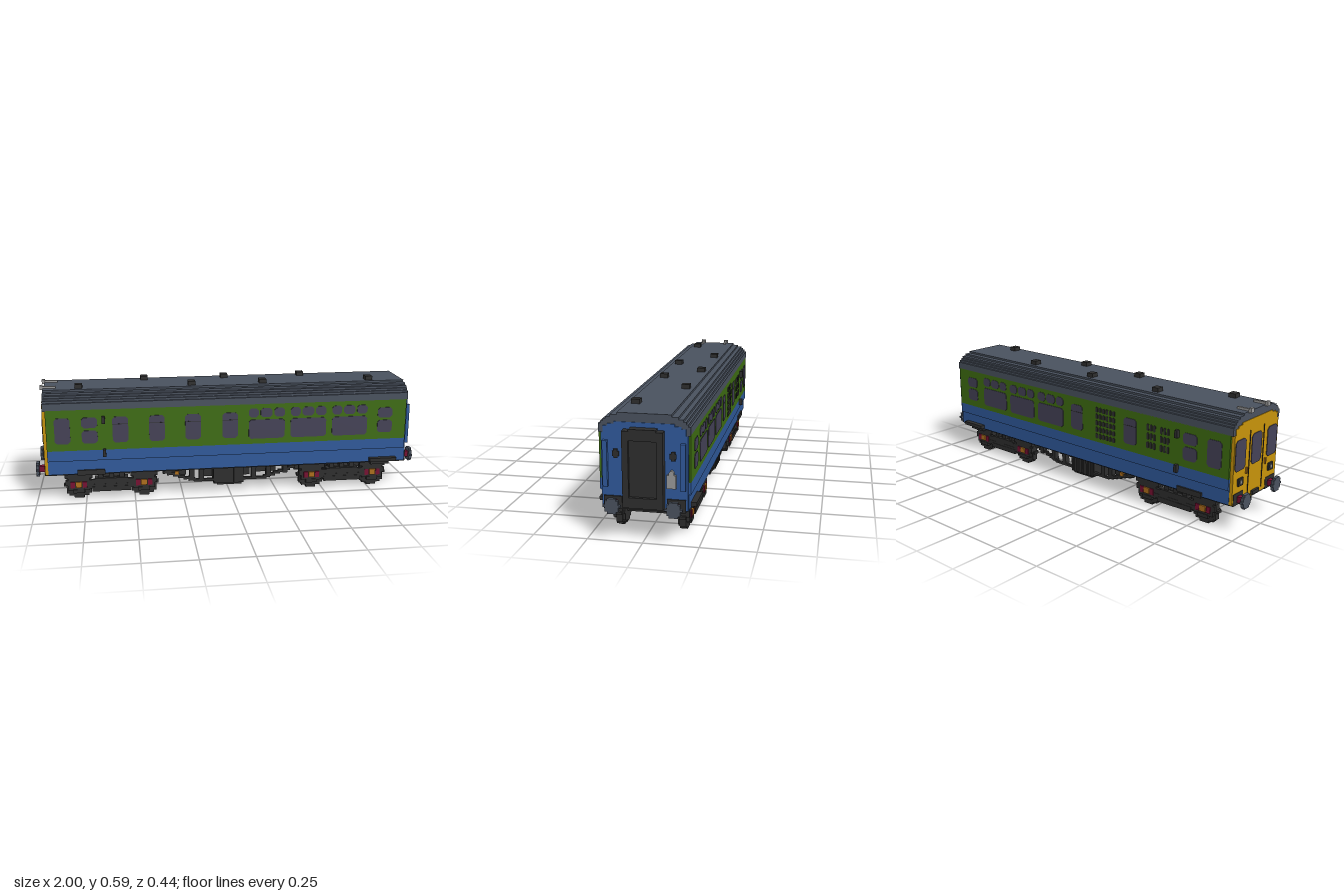
import * as THREE from 'three';

const mat = (name, hex, side = THREE.FrontSide) => {
  const m = new THREE.MeshStandardMaterial({ color: hex, side });
  m.name = name;
  return m;
};

export function createModel() {
  const green = mat('green paint', 0x3f6e12), blue = mat('blue paint', 0x305a9c);
  const roofGrey = mat('roof grey', 0x4a525f), dark = mat('underframe black', 0x2e2e2e);
  const glass = mat('window glass', 0x454257), yellow = mat('yellow paint', 0xc8940a);
  const orange = mat('axle orange', 0xb0701c), red = mat('crimson', 0x780f32);
  const silver = mat('silver grey', 0x9a9a9a);

  const model = new THREE.Group();
  const group = (name, parent = model) => {
    const g = new THREE.Group();
    g.name = name;
    parent.add(g);
    return g;
  };
  const add = (parent, name, geo, m) => {
    const mesh = new THREE.Mesh(geo, m);
    mesh.name = name;
    parent.add(mesh);
    return mesh;
  };
  // box given by its limits
  const box = (p, name, m, x0, x1, y0, y1, z0, z1) => {
    const b = add(p, name, new THREE.BoxGeometry(x1 - x0, y1 - y0, Math.abs(z1 - z0)), m);
    b.position.set((x0 + x1) / 2, (y0 + y1) / 2, (z0 + z1) / 2);
    return b;
  };
  // solid with cross-section in (z, y), running along x
  const alongX = (p, name, m, pts, x0, x1) => {
    const s = new THREE.Shape(pts.map(([z, y]) => new THREE.Vector2(-z, y)));
    const g = new THREE.ExtrudeGeometry(s, { depth: x1 - x0, bevelEnabled: false });
    g.rotateY(Math.PI / 2).translate(x0, 0, 0);
    return add(p, name, g, m);
  };
  const mirrored = pts => [...pts, ...pts.slice().reverse().map(([z, y]) => [-z, y])];
  // stepped disc made of rows, thin along the given axis
  const disc = (p, name, m, x, y, z, r, t, axis, rows = 11) => {
    const g = group(name, p), h = 2 * r / rows;
    for (let i = 0; i < rows; i++) {
      const yy = -r + (i + 0.5) * h;
      const w = Math.max(h, Math.round(Math.sqrt(r * r - yy * yy) / h) * h);
      const geo = axis === 'z' ? new THREE.BoxGeometry(2 * w, h, t) : new THREE.BoxGeometry(t, h, 2 * w);
      add(g, name + 'Row', geo, m).position.set(0, yy, 0);
    }
    g.position.set(x, y, z);
  };
  // thin pane with clipped corners
  const paneGeo = (w, h, c) => {
    const a = w / 2, b = h / 2;
    const s = new THREE.Shape([[-a + c, -b], [a - c, -b], [a, -b + c], [a, b - c], [a - c, b], [-a + c, b], [-a, b - c], [-a, -b + c]]
      .map(q => new THREE.Vector2(...q)));
    return new THREE.ExtrudeGeometry(s, { depth: 0.003, bevelEnabled: false });
  };
  const pane = (p, side, x0, x1, y0, y1, m = glass, c = 0.012) => {
    const mesh = add(p, 'pane', paneGeo(x1 - x0, y1 - y0, c), m);
    mesh.position.set((x0 + x1) / 2, (y0 + y1) / 2, side * 0.203);
    if (side < 0) mesh.rotation.y = Math.PI;
  };

  // Body shell
  const body = group('body');
  box(body, 'core', blue, -0.935, 0.937, 0.14, 0.48, -0.19, 0.19);
  box(body, 'floor', dark, -0.935, 0.937, 0.133, 0.142, -0.185, 0.185);
  for (const s of [1, -1]) {
    box(body, 'lowerPanel', blue, -0.937, 0.94, 0.14, 0.213, s * 0.185, s * 0.194);
    box(body, 'waistPanel', blue, -0.937, 0.94, 0.213, 0.268, s * 0.185, s * 0.203);
    box(body, 'sidePanel', green, -0.937, 0.94, 0.268, 0.48, s * 0.193, s * 0.203);
  }

  // Roof with stepped edges, and the two end panels beneath it
  const roof = group('roof');
  alongX(roof, 'roofShell', roofGrey, mirrored([[0.203, 0.477], [0.203, 0.516], [0.193, 0.516], [0.193, 0.527], [0.183, 0.527],
    [0.183, 0.537], [0.172, 0.537], [0.172, 0.547], [0.15, 0.547], [0.15, 0.557], [0.12, 0.557], [0.12, 0.567]]), -0.95, 0.945);
  const endShape = mirrored([[0.192, 0.14], [0.192, 0.477], [0.183, 0.477], [0.183, 0.507], [0.163, 0.507], [0.163, 0.517], [0.134, 0.517], [0.134, 0.527]]);
  alongX(body, 'gangwayEnd', blue, endShape, 0.936, 0.948);
  alongX(body, 'cabEnd', yellow, endShape, -0.953, -0.934);
  [[-0.43, -1], [0, -1], [0.42, -1], [-0.77, 1], [-0.19, 1], [0.185, 1], [0.76, 1]].forEach(([x, s]) =>
    box(roof, 'roofVent', dark, x - 0.019, x + 0.019, 0.56, 0.588, s * 0.06, s * 0.1));
  for (const s of [1, -1]) {
    box(roof, 'horn', silver, -0.955, -0.885, 0.566, 0.578, s * 0.066, s * 0.078);
    box(roof, 'hornMouth', silver, -0.965, -0.95, 0.562, 0.584, s * 0.06, s * 0.084);
  }

  // Side windows
  for (const s of [1, -1]) {
    const w = group(s > 0 ? 'frontWindows' : 'backWindows');
    pane(w, s, -0.895, -0.817, 0.305, 0.44);
    for (const x of [-0.76, 0.785]) {
      pane(w, s, x, x + 0.08, 0.305, 0.372);
      pane(w, s, x, x + 0.08, 0.385, 0.44);
    }
    for (const x of s > 0 ? [-0.605, -0.42, -0.235, -0.043] : [-0.4, -0.043]) {
      pane(w, s, x, x + 0.08, 0.305, 0.44);
      box(w, 'glazingBar', dark, x, x + 0.08, 0.4, 0.403, s * 0.204, s * 0.207);
    }
    for (const x of [0.095, 0.316, 0.538]) {
      pane(w, s, x, x + 0.19, 0.296, 0.398);
      pane(w, s, x, x + 0.052, 0.411, 0.458);
      pane(w, s, x + 0.062, x + 0.124, 0.411, 0.458);
      pane(w, s, x + 0.134, x + 0.19, 0.411, 0.458);
    }
  }

  // Louvre grilles on the back side
  const grille = group('louvres');
  for (let r = 0; r < 5; r++)
    for (let c = 0; c < 6; c++)
      pane(grille, -1, -0.262 + c * 0.0225, -0.246 + c * 0.0225, 0.288 + r * 0.035, 0.314 + r * 0.035, dark, 0.004);
  for (let r = 0; r < 3; r++)
    for (let c = 0; c < 6; c++) {
      const x = -0.6 + c * 0.02 + (c > 2 ? 0.022 : 0);
      pane(grille, -1, x, x + 0.014, 0.312 + r * 0.045, 0.346 + r * 0.045, dark, 0.004);
    }

  // Side brackets and step boards
  const fittings = group('sideFittings');
  for (const s of [1, -1]) {
    for (const [y0, y1] of [[0.408, 0.446], [0.235, 0.273]])
      box(fittings, 'lampBracket', dark, -0.657, -0.641, y0, y1, s * 0.203, s * 0.222);
    box(fittings, 'longStep', dark, 0.75, 0.895, 0.145, 0.164, s * 0.19, s * 0.221);
    box(fittings, 'shortStep', dark, -0.79, -0.65, 0.135, 0.162, s * 0.185, s * 0.203);
    box(fittings, 'stepHanger', dark, 0.76, 0.86, 0.125, 0.15, s * 0.165, s * 0.2);
  }

  // Gangway connection
  const gangway = group('gangway');
  const frame = [[0.09, 0.152], [0.09, 0.497], [0.06, 0.497], [0.06, 0.506]];
  alongX(gangway, 'bellows', dark, mirrored(frame), 0.945, 0.972);
  const ring = new THREE.Shape(mirrored(frame).map(q => new THREE.Vector2(...q)));
  ring.holes.push(new THREE.Path([[-0.062, 0.2], [0.062, 0.2], [0.062, 0.455], [-0.062, 0.455]].map(q => new THREE.Vector2(...q))));
  add(gangway, 'faceplate', new THREE.ExtrudeGeometry(ring, { depth: 0.015, bevelEnabled: false })
    .rotateY(Math.PI / 2).translate(0.972, 0, 0), dark);
  for (const s of [1, -1]) {
    box(gangway, 'handrail', blue, 0.947, 0.966, 0.235, 0.445, s * 0.162, s * 0.183);
    box(gangway, 'lampUpright', dark, 0.947, 0.954, 0.365, 0.406, s * 0.118, s * 0.136);
    box(gangway, 'lampCross', dark, 0.947, 0.954, 0.374, 0.396, s * 0.112, s * 0.142);
  }
  alongX(gangway, 'junctionBox', silver, [[-0.1, 0.243], [-0.1, 0.303], [-0.11, 0.303], [-0.11, 0.314], [-0.118, 0.324],
    [-0.125, 0.324], [-0.133, 0.314], [-0.133, 0.303], [-0.141, 0.303], [-0.141, 0.243]], 0.947, 0.962);

  // Cab front windows, door lines and lamps
  const cab = group('cabFront');
  for (const z of [-0.14, 0, 0.14]) {
    const m = add(cab, 'cabWindow', paneGeo(0.088, 0.15, 0.014), glass);
    m.rotation.y = -Math.PI / 2;
    m.position.set(-0.953, 0.375, z);
  }
  for (const s of [1, -1]) {
    box(cab, 'doorSeam', dark, -0.956, -0.952, 0.16, 0.475, s * 0.06, s * 0.063);
    box(cab, 'markerLamp', dark, -0.962, -0.952, 0.225, 0.262, s * 0.115, s * 0.155);
    box(cab, 'lampLens', silver, -0.965, -0.961, 0.235, 0.252, s * 0.127, s * 0.143);
    box(cab, 'cabHandrail', orange, -0.961, -0.952, 0.27, 0.3, s * 0.08, s * 0.088);
  }

  // Buffers at both ends
  const buffers = group('buffers');
  for (const e of [1, -1]) {
    const span = (a, b) => e > 0 ? [a, b] : [-b, -a];
    box(buffers, 'bufferBeam', dark, ...span(0.925, 0.951), 0.133, 0.15, -0.183, 0.183);
    for (const s of [1, -1]) {
      box(buffers, 'bufferBase', dark, ...span(0.93, 0.955), 0.133, 0.192, s * 0.1, s * 0.183);
      box(buffers, 'bufferShank', red, ...span(0.95, 0.985), 0.145, 0.175, s * 0.122, s * 0.152);
      disc(buffers, 'bufferHead', roofGrey, e * 0.992, 0.159, s * 0.137, 0.035, 0.016, 'x', 7);
    }
    box(buffers, 'coupling', dark, ...span(0.945, 0.965), 0.148, 0.166, -0.03, 0.03);
  }

  // Bogies
  for (const cx of [-0.62, 0.61]) {
    const b = group('bogie');
    box(b, 'bolster', dark, -0.07, 0.07, 0.06, 0.11, -0.16, 0.16);
    for (const s of [1, -1]) {
      box(b, 'sideFrame', dark, -0.235, 0.235, 0.072, 0.1, s * 0.162, s * 0.177);
      box(b, 'springPlank', dark, -0.1, 0.1, 0.036, 0.062, s * 0.085, s * 0.18);
      box(b, 'springPlankEnd', dark, -0.13, 0.13, 0.052, 0.075, s * 0.125, s * 0.178);
      box(b, 'topBeam', dark, -0.085, 0.085, 0.095, 0.106, s * 0.13, s * 0.18);
      for (const x of [-0.055, 0, 0.055])
        box(b, 'spring', dark, x - 0.013, x + 0.013, 0.1, 0.136, s * 0.135, s * 0.17);
      for (const x of [-0.168, 0.168]) {
        disc(b, 'wheel', dark, x, 0.07, s * 0.147, 0.07, 0.03, 'z');
        disc(b, 'wheelFlange', dark, x, 0.07, s * 0.128, 0.06, 0.012, 'z');
        box(b, 'axleGuard', dark, x - 0.055, x + 0.055, 0.045, 0.115, s * 0.16, s * 0.177);
        box(b, 'axleGuardFoot', dark, x - 0.03, x + 0.03, 0.031, 0.05, s * 0.16, s * 0.18);
        box(b, 'axleBox', orange, x - 0.016, x + 0.016, 0.062, 0.092, s * 0.17, s * 0.185);
        for (const d of [-0.031, 0.031])
          box(b, 'axleSpring', red, x + d - 0.011, x + d + 0.011, 0.06, 0.092, s * 0.17, s * 0.182);
        box(b, 'guardTop', dark, x - 0.07, x + 0.07, 0.11, 0.136, s * 0.155, s * 0.177);
      }
    }
    for (const x of [-0.168, 0.168]) box(b, 'axle', dark, x - 0.014, x + 0.014, 0.062, 0.088, -0.14, 0.14);
    b.position.x = cx;
  }

  // Underframe equipment and stepped trusses
  const under = group('underframe');
  box(under, 'engine', dark, -0.14, 0.12, 0.06, 0.11, -0.085, 0.085);
  box(under, 'gearbox', dark, 0.16, 0.27, 0.065, 0.108, -0.06, 0.06);
  box(under, 'driveShaft', dark, -0.56, 0.56, 0.076, 0.094, -0.012, 0.012);
  for (const s of [1, -1]) {
    box(under, 'equipmentBox', dark, -0.085, 0.075, 0.045, 0.136, s * 0.085, s * 0.165);
    box(under, 'equipmentSump', dark, -0.065, 0.065, 0.034, 0.05, s * 0.09, s * 0.155);
    for (let i = 0; i < 5; i++)
      box(under, 'equipmentRib', dark, -0.08 + i * 0.034, -0.068 + i * 0.034, 0.05, 0.136, s * 0.16, s * 0.172);
    box(under, 'trussBottom', dark, -0.19, 0.2, 0.06, 0.073, s * 0.15, s * 0.165);
    for (let i = 0; i < 6; i++)
      for (const e of [1, -1]) {
        const x = e * (0.2 + i * 0.027);
        box(under, 'trussStep', dark, x - 0.018, x + 0.018, 0.066 + i * 0.009, 0.08 + i * 0.009, s * 0.15, s * 0.165);
      }
    for (const x of [-0.2, -0.15, 0.13, 0.21, 0.3])
      box(under, 'trussPost', dark, x - 0.013, x + 0.013, x === 0.3 ? 0.09 : 0.072, 0.136, s * 0.14, s * 0.168);
    box(under, 'tank', dark, -0.33, -0.23, 0.1, 0.136, s * 0.09, s * 0.16);
    box(under, 'fillerCap', orange, -0.29, -0.268, 0.105, 0.122, s * 0.16, s * 0.17);
  }
  return model;
}
